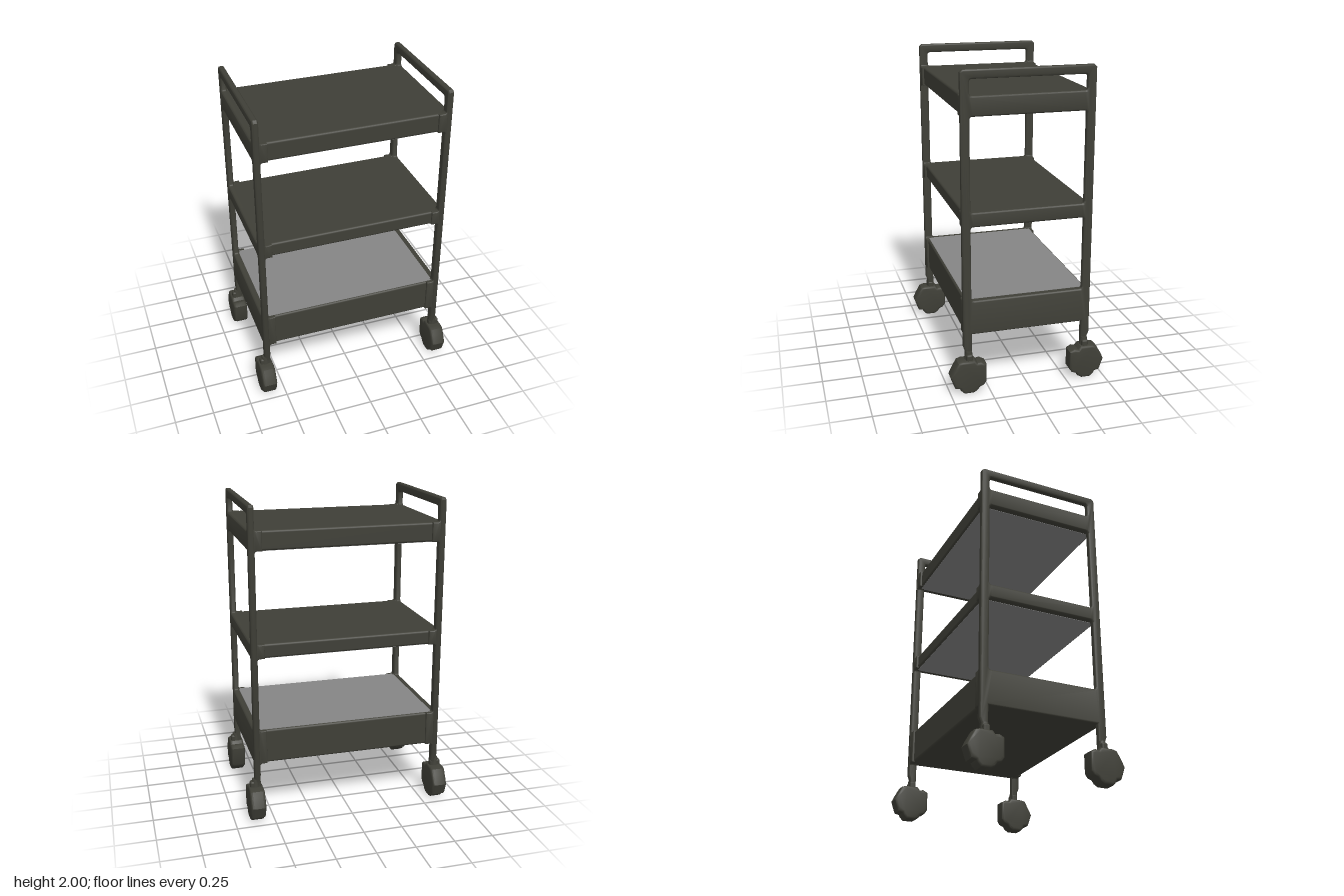
import * as THREE from 'three';
import { toCreasedNormals } from 'three/addons/utils/BufferGeometryUtils.js';
import { RoundedBoxGeometry } from 'three/addons/geometries/RoundedBoxGeometry.js';

const charcoal = new THREE.MeshStandardMaterial({ name: 'charcoal metal', color: 0x3f3f37 });
const grey = new THREE.MeshStandardMaterial({ name: 'grey liner', color: 0x858585 });

// bottom and top height of each shelf, with the side that carries the liner
const SHELVES = [
  { name: 'bottomShelf', y0: 0.38, y1: 0.6, liner: 'top' },
  { name: 'middleShelf', y0: 1.07, y1: 1.16, liner: 'bottom' },
  { name: 'topShelf', y0: 1.73, y1: 1.85, liner: 'bottom' },
];

// bevelled slab of the given thickness, centred on its own plane
function slab(shape, thickness, bevel) {
  const geo = new THREE.ExtrudeGeometry(shape, {
    depth: thickness - 2 * bevel, curveSegments: 4,
    bevelEnabled: true, bevelSize: bevel, bevelThickness: bevel, bevelOffset: -bevel, bevelSegments: 3,
  });
  geo.translate(0, 0, -(thickness - 2 * bevel) / 2);
  return toCreasedNormals(geo, 0.7);
}

function polygon(points) {
  return new THREE.Shape(points.map(([x, y]) => new THREE.Vector2(x, y)));
}

function roundedWindow(w, y0, y1, r) {
  const p = new THREE.Path();
  p.moveTo(-w + r, y0);
  p.lineTo(w - r, y0);
  p.quadraticCurveTo(w, y0, w, y0 + r);
  p.lineTo(w, y1 - r);
  p.quadraticCurveTo(w, y1, w - r, y1);
  p.lineTo(-w + r, y1);
  p.quadraticCurveTo(-w, y1, -w, y1 - r);
  p.lineTo(-w, y0 + r);
  p.quadraticCurveTo(-w, y0, -w + r, y0);
  return p;
}

// ladder-like end frame: two legs, handle rail and shelf ends in one piece
function endFrameGeometry() {
  const half = [[0.355, 0.38], [0.355, 0.2], [0.398, 0.2], [0.398, 0.27], [0.41, 0.3], [0.41, 1.985], [0.395, 2]];
  const mirrored = half.map(([z, y]) => [-z, y]).reverse();
  const shape = polygon([...half, ...mirrored]);
  const gaps = [[0.6, 1.07], [1.16, 1.73], [1.85, 1.945]];
  for (const [y0, y1] of gaps) shape.holes.push(roundedWindow(0.355, y0, y1, 0.018));
  return slab(shape, 0.038, 0.011).rotateY(-Math.PI / 2);
}

// flared bracket joining a shelf corner to a leg, drawn for the +x side
function bracketGeometry(y0, y1) {
  return slab(polygon([
    [0.53, y0], [0.564, y0], [0.573, y0 - 0.005], [0.579, y0 - 0.022], [0.597, y0 - 0.022],
    [0.597, y1 + 0.022], [0.579, y1 + 0.022], [0.573, y1 + 0.005], [0.564, y1], [0.53, y1],
  ]), 0.05, 0.006);
}

// knobbly caster outline, x pointing outwards from the trolley
function casterGeometry() {
  return slab(polygon([
    [0.03, 0], [0.052, 0.022], [0.058, 0.036], [0.088, 0.042], [0.098, 0.07], [0.115, 0.118],
    [0.098, 0.155], [0.085, 0.178], [0.066, 0.212], [0.04, 0.22], [-0.04, 0.22],
    [-0.056, 0.2], [-0.08, 0.205], [-0.112, 0.188], [-0.112, 0.07], [-0.095, 0.045],
    [-0.07, 0.036], [-0.055, 0.015], [-0.03, 0],
  ]), 0.095, 0.016);
}

export function createModel() {
  const model = new THREE.Group();
  model.name = 'trolley';
  const add = (parent, name, geo, mat, x = 0, y = 0, z = 0) => {
    const mesh = new THREE.Mesh(geo, mat);
    mesh.name = name;
    mesh.position.set(x, y, z);
    parent.add(mesh);
    return mesh;
  };

  // end frames
  const frame = endFrameGeometry();
  add(model, 'leftFrame', frame, charcoal, 0.594);
  add(model, 'rightFrame', frame, charcoal, -0.594);

  // shelves with their liners and corner brackets
  for (const { name, y0, y1, liner } of SHELVES) {
    const shelf = new THREE.Group();
    shelf.name = name;
    model.add(shelf);
    add(shelf, 'tray', new RoundedBoxGeometry(1.19, y1 - y0, 0.786, 3, 0.014), charcoal, 0, (y0 + y1) / 2, 0);
    add(shelf, 'liner', new THREE.BoxGeometry(1.148, 0.004, 0.762), grey, 0, liner === 'top' ? y1 : y0, 0);
    const bracket = bracketGeometry(y0, y1);
    for (const turn of [0, Math.PI]) {
      for (const z of [-0.382, 0.382]) {
        add(shelf, 'cornerBracket', bracket, charcoal, 0, 0, z).rotation.y = turn;
      }
    }
  }

  // casters: wheel and swivel neck under each leg
  const wheel = casterGeometry();
  const neck = new THREE.CylinderGeometry(0.021, 0.03, 0.07, 12);
  for (const x of [-0.607, 0.607]) {
    for (const s of [1, -1]) {
      const caster = new THREE.Group();
      caster.name = (s > 0 ? 'front' : 'back') + (x > 0 ? 'Left' : 'Right') + 'Caster';
      caster.position.set(x, 0, s * 0.385);
      caster.rotation.y = -s * Math.PI / 2;
      model.add(caster);
      add(caster, 'wheel', wheel, charcoal);
      add(caster, 'swivelNeck', neck, charcoal, -0.008, 0.235, 0);
      add(caster, 'forkCap', new RoundedBoxGeometry(0.042, 0.06, 0.07, 2, 0.012), charcoal, -0.008, 0.226, 0);
    }
  }
  return model;
}
